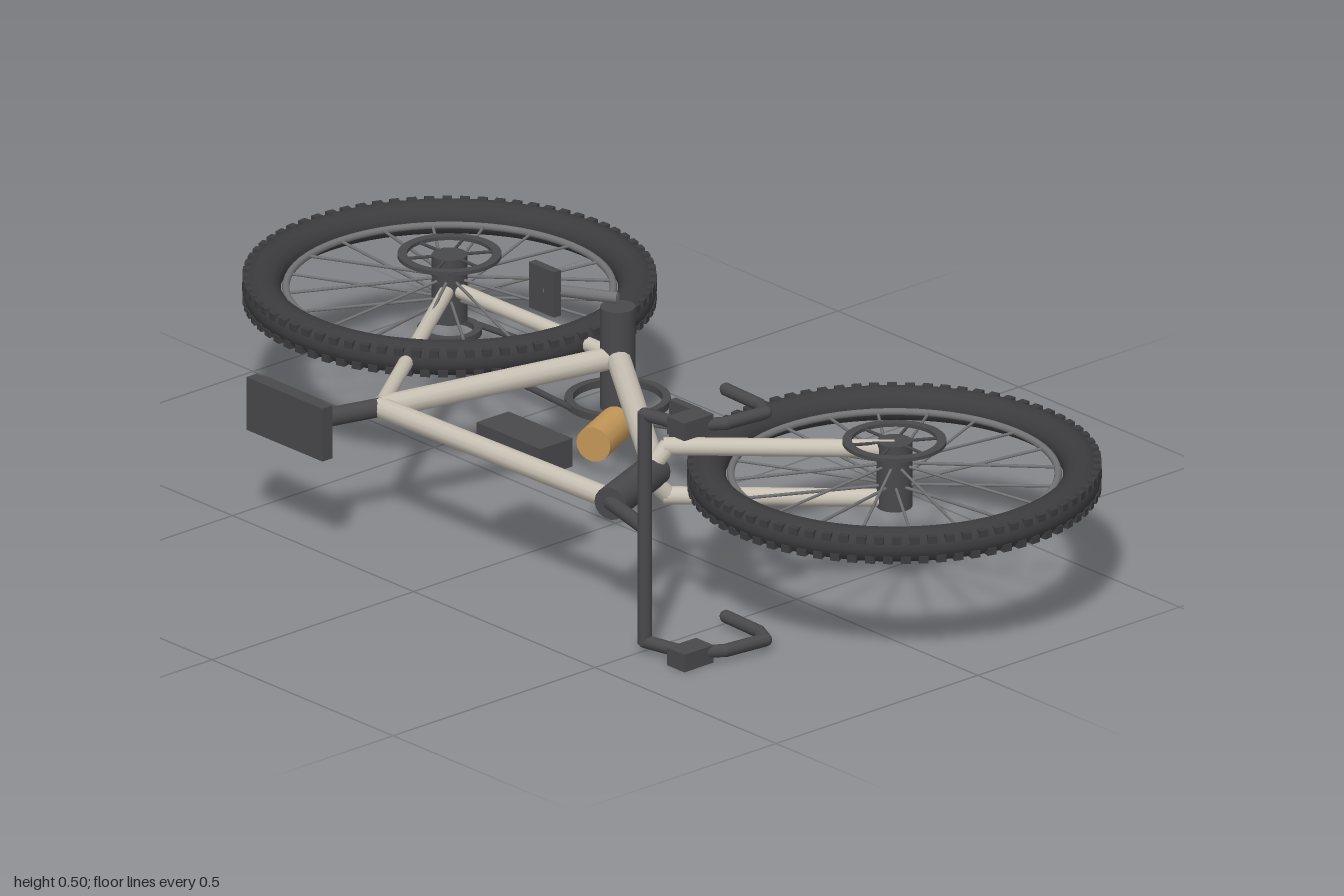
import * as THREE from 'three';

const mat = (name, color) => {
  const m = new THREE.MeshStandardMaterial({ color });
  m.name = name;
  return m;
};

export function createModel() {
  const frame = mat('frame paint', 0xc8c1b4);
  const dark = mat('dark metal', 0x49494c);
  const rubber = mat('tyre rubber', 0x3c3c3f);
  const steel = mat('steel grey', 0x747476);
  const tan = mat('bottle tan', 0xc29658);

  // The bicycle lies on its side: its wheels are in the xz plane, y is its width.
  const bike = new THREE.Group();
  bike.name = 'bicycle';
  bike.position.y = 0.2475;

  const add = (parent, name, geometry, material, x = 0, y = 0, z = 0) => {
    const m = new THREE.Mesh(geometry, material);
    m.name = name;
    m.position.set(x, y, z);
    parent.add(m);
    return m;
  };
  const box = (parent, name, size, pos, material) =>
    add(parent, name, new THREE.BoxGeometry(...size), material, ...pos);
  const rod = (parent, name, a, b, r, material, sides = 12) => {
    const p = new THREE.Vector3(...a), q = new THREE.Vector3(...b);
    const d = q.clone().sub(p);
    const m = add(parent, name, new THREE.CylinderGeometry(r, r, d.length(), sides), material);
    m.position.copy(p).add(q).multiplyScalar(0.5);
    m.quaternion.setFromUnitVectors(new THREE.Vector3(0, 1, 0), d.normalize());
    return m;
  };
  // Flat ring lying in the xz plane
  const ring = (parent, name, inner, outer, thick, y, material) => {
    const h = thick / 2;
    const pts = [[inner, -h], [outer, -h], [outer, h], [inner, h], [inner, -h]]
      .map(([r, v]) => new THREE.Vector2(r, v));
    const g = new THREE.LatheGeometry(pts, 40).toNonIndexed();
    g.computeVertexNormals();
    return add(parent, name, g, material, 0, y, 0);
  };

  // Wheels
  const makeWheel = (name, x) => {
    const w = new THREE.Group();
    w.name = name;
    w.position.set(x, 0, -0.14);
    bike.add(w);
    const tyre = new THREE.TorusGeometry(0.347, 0.036, 14, 72).rotateX(Math.PI / 2).scale(1, 0.9, 1);
    add(w, 'tyre', tyre, rubber);
    add(w, 'rim', new THREE.TorusGeometry(0.302, 0.007, 8, 64).rotateX(Math.PI / 2), steel);
    // Shoulder tread blocks, staggered from side to side
    const n = 72;
    const block = new THREE.BoxGeometry(0.014, 0.014, 0.018);
    for (let i = 0; i < n; i++) {
      for (const side of [-1, 1]) {
        const a = ((i + side * 0.25) / n) * Math.PI * 2;
        const b = add(w, 'treadBlock', block, rubber, Math.cos(a) * 0.375, side * 0.019, Math.sin(a) * 0.375);
        b.rotation.y = -a;
      }
    }
    // Spokes and hub
    for (let i = 0; i < 20; i++) {
      const a = (i / 20) * Math.PI * 2, c = Math.cos(a), s = Math.sin(a);
      const y = i % 2 ? 0.02 : -0.02;
      rod(w, 'spoke', [c * 0.02, y, s * 0.02], [c * 0.3, 0, s * 0.3], 0.003, steel, 6);
    }
    add(w, 'hub', new THREE.CylinderGeometry(0.033, 0.033, 0.13, 16), dark);
    // Brake disc
    ring(w, 'brakeDisc', 0.079, 0.096, 0.007, 0.064, dark);
    for (let i = 0; i < 6; i++) {
      const a = (i / 6) * Math.PI * 2, c = Math.cos(a), s = Math.sin(a);
      rod(w, 'discArm', [c * 0.03, 0.063, s * 0.03], [c * 0.082, 0.063, s * 0.082], 0.003, dark, 6);
    }
    return w;
  };
  const rearWheel = makeWheel('rearWheel', -0.614);
  makeWheel('frontWheel', 0.614);

  // Frame tubes
  const rear = [-0.614, 0, -0.14], crank = [-0.152, 0, -0.142];
  const seatTop = [-0.26, 0, 0.35];
  rod(bike, 'downTube', crank, [0.31, 0, 0.18], 0.023, frame);
  rod(bike, 'seatTube', crank, seatTop, 0.022, frame);
  rod(bike, 'topTube', seatTop, [0.366, 0, 0.333], 0.02, frame);
  rod(bike, 'chainStay', rear, crank, 0.014, frame);
  rod(bike, 'seatStay', rear, seatTop, 0.014, frame);
  rod(bike, 'headTube', [0.304, 0, 0.175], [0.375, 0, 0.35], 0.032, dark, 16);

  // Fork
  for (const s of [-1, 1]) {
    rod(bike, 'forkCrown', [0.31, 0, 0.205], [0.325, s * 0.05, 0.16], 0.017, frame);
    rod(bike, 'forkBlade', [0.32, s * 0.049, 0.168], [0.614, s * 0.049, -0.14], 0.017, frame);
  }

  // Saddle
  rod(bike, 'seatPost', seatTop, [-0.3, 0, 0.5], 0.018, dark);
  box(bike, 'saddle', [0.21, 0.105, 0.025], [-0.334, 0, 0.508], dark);

  // Handlebar with hooked ends
  rod(bike, 'stem', [0.37, 0, 0.345], [0.505, 0, 0.381], 0.014, dark);
  rod(bike, 'handlebar', [0.505, -0.23, 0.381], [0.505, 0.23, 0.381], 0.0135, dark);
  const hook = [[0.505, 0.381], [0.595, 0.362], [0.638, 0.3], [0.648, 0.21], [0.61, 0.192], [0.515, 0.188]];
  for (const s of [-1, 1]) {
    const y = s * 0.226;
    hook.forEach(([x, z], i) => {
      add(bike, 'barJoint', new THREE.SphereGeometry(0.0125, 10, 8), dark, x, y, z);
      if (i) rod(bike, 'barHook', [hook[i - 1][0], y, hook[i - 1][1]], [x, y, z], 0.0125, dark, 10);
    });
    box(bike, 'brakeHood', [0.048, 0.035, 0.072], [0.604, s * 0.23, 0.357], dark);
  }

  // Crankset, pedals and chain
  add(bike, 'bottomBracket', new THREE.CylinderGeometry(0.033, 0.033, 0.2, 16), dark, ...crank);
  const drive = -0.086;
  const chainring = ring(bike, 'chainring', 0.083, 0.098, 0.014, drive, dark);
  chainring.position.x = crank[0];
  chainring.position.z = crank[2];
  ring(rearWheel, 'cog', 0.045, 0.06, 0.012, drive, dark);
  for (const s of [-1, 1])
    rod(bike, 'chainRun', [-0.619, drive, -0.14 + s * 0.055], [-0.16, drive, -0.142 + s * 0.092], 0.006, dark, 6);
  for (const [s, x, z] of [[1, -0.275, -0.072], [-1, -0.028, -0.198]]) {
    const y = s * 0.117;
    rod(bike, 'crankArm', [crank[0], y, crank[2]], [x, y, z], 0.011, steel);
    box(bike, 'pedal', [0.07, 0.09, 0.017], [x, y, z], dark);
  }

  // Frame bag and bottle
  box(bike, 'frameBag', [0.177, 0.056, 0.08], [0.053, 0, 0.273], dark);
  rod(bike, 'bottle', [0.03, -0.033, 0.024], [0.078, -0.033, 0.125], 0.034, tan, 16);

  const model = new THREE.Group();
  model.name = 'model';
  model.add(bike);
  return model;
}
